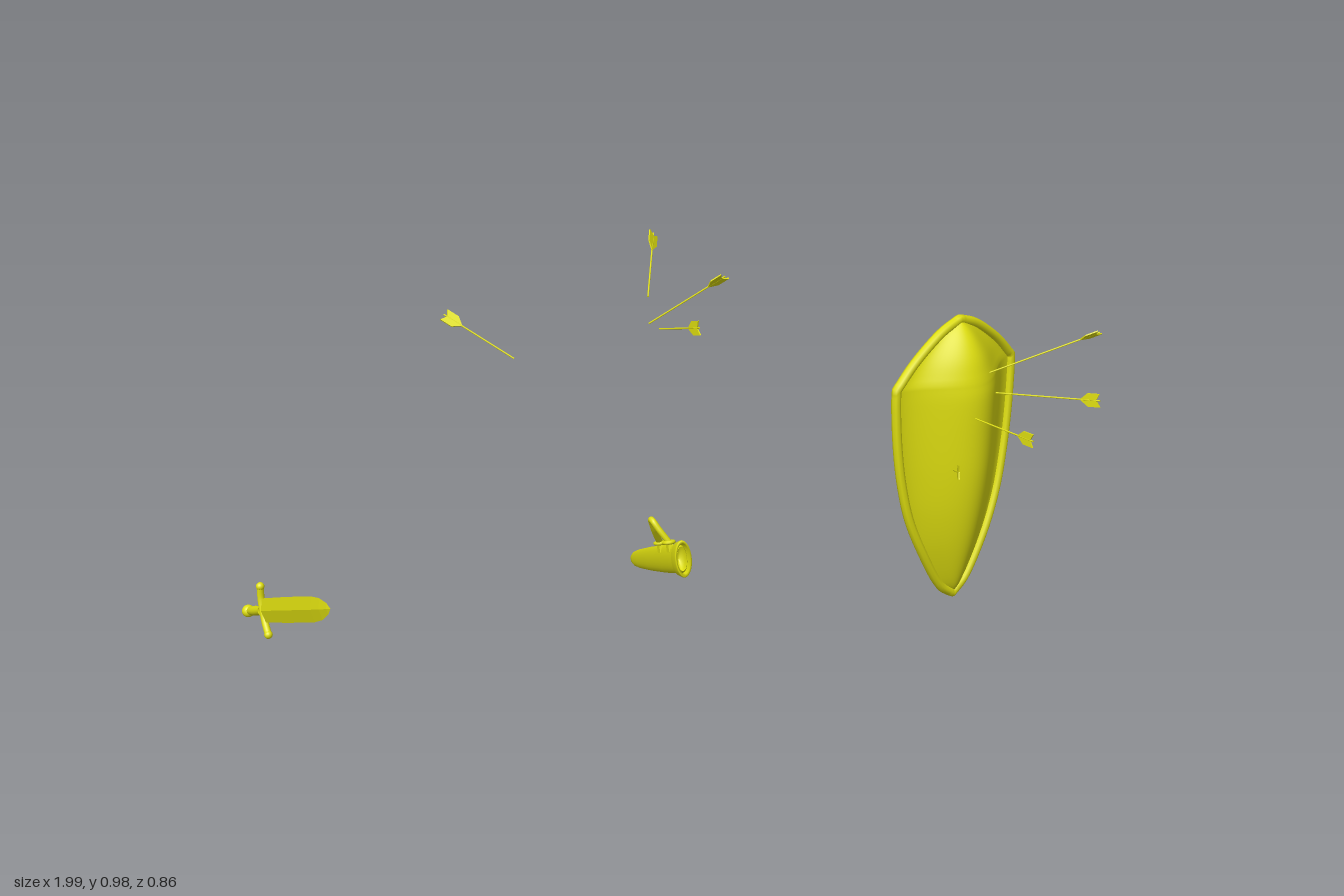
import * as THREE from 'three';

const V = (x, y, z) => new THREE.Vector3(x, y, z);
const mat = new THREE.MeshStandardMaterial({ color: 0xe0e010, side: THREE.DoubleSide });
const flat = new THREE.MeshStandardMaterial({ color: 0xe0e010, side: THREE.DoubleSide, flatShading: true });

function add(parent, name, geometry, material = mat) {
  const mesh = new THREE.Mesh(geometry, material);
  mesh.name = name;
  parent.add(mesh);
  return mesh;
}

// Group whose y axis runs from one point to another, with x turned towards a hint
function along(name, from, to, hint) {
  const g = new THREE.Group();
  g.name = name;
  const y = to.clone().sub(from).normalize();
  const z = hint.clone().cross(y).normalize();
  const x = y.clone().cross(z);
  g.applyMatrix4(new THREE.Matrix4().makeBasis(x, y, z).setPosition(from));
  return g;
}

const lathe = (pts, seg) => new THREE.LatheGeometry(pts.map(p => new THREE.Vector2(...p)), seg);
const tube = (pts, r, n = 24, seg = 10) =>
  new THREE.TubeGeometry(new THREE.CatmullRomCurve3(pts, false, 'centripetal'), n, r, seg);

// Rows of the shield: [height, half width, depth of edge, depth of ridge]
const lowerRows = [
  [0.06, 0, 0.024, 0.026], [0.1, 0.052, 0.023, 0.045], [0.2, 0.114, 0.021, 0.072], [0.3, 0.16, 0.014, 0.09],
  [0.4, 0.186, 0.008, 0.1], [0.5, 0.201, 0.004, 0.102], [0.6, 0.208, 0.001, 0.1], [0.65, 0.208, 0, 0.092]];
const upperRows = [
  [0.65, 0.208, 0, 0.092], [0.7, 0.158, 0.002, 0.076], [0.74, 0.105, 0.004, 0.055], [0.77, 0.055, 0.006, 0.032],
  [0.79, 0, 0.008, 0.01]];

function sampleRows(rows, n) {
  const edge = new THREE.CatmullRomCurve3(rows.map(r => V(r[1], r[0], r[2])), false, 'catmullrom');
  const ridge = new THREE.CatmullRomCurve3(rows.map(r => V(0, r[0], r[3])), false, 'catmullrom');
  return Array.from({ length: n + 1 }, (_, i) => {
    const e = edge.getPoint(i / n);
    return { y: e.y, w: Math.max(e.x, 0), base: e.z, peak: ridge.getPoint(i / n).z };
  });
}

// Bell-shaped sheet across the rows
function sheet(rows, bulge, offset, reverse) {
  const cols = 32, pos = [], idx = [];
  rows.forEach((r, j) => {
    for (let i = 0; i <= cols; i++) {
      const u = (i / cols) * 2 - 1;
      pos.push(u * r.w, r.y, r.base + offset + bulge * (r.peak - r.base) * Math.cos(u * Math.PI / 2) ** 2);
      if (j === rows.length - 1 || i === cols) continue;
      const a = j * (cols + 1) + i, b = a + 1, c = b + cols + 1, d = a + cols + 1;
      idx.push(...(reverse ? [a, c, b, a, d, c] : [a, b, c, a, c, d]));
    }
  });
  const g = new THREE.BufferGeometry();
  g.setAttribute('position', new THREE.Float32BufferAttribute(pos, 3));
  g.setIndex(idx);
  g.computeVertexNormals();
  return g;
}

// Bent band: profile given as [distance behind the shield, height]
function band(profile, width, thickness) {
  const curve = new THREE.SplineCurve(profile.map(p => new THREE.Vector2(...p)));
  const outer = [], inner = [];
  for (let i = 0; i <= 30; i++) {
    const p = curve.getPoint(i / 30), t = curve.getTangent(i / 30);
    outer.push(p);
    inner.unshift(new THREE.Vector2(p.x + t.y * thickness, p.y - t.x * thickness));
  }
  const g = new THREE.ExtrudeGeometry(new THREE.Shape([...outer, ...inner]), { depth: width, bevelEnabled: false });
  return g.translate(0, 0, -width / 2).rotateY(Math.PI / 2);
}

function makeShield() {
  const g = new THREE.Group();
  g.name = 'shield';
  const rows = [...sampleRows(lowerRows, 36), ...sampleRows(upperRows, 16).slice(1)];
  add(g, 'shieldFront', sheet(rows, 1, 0, false));
  add(g, 'shieldBack', sheet(rows, 0.25, -0.008, true));
  // rim around the outline
  const right = rows.map(r => V(r.w, r.y, r.base));
  const left = rows.slice(1, -1).reverse().map(r => V(-r.w, r.y, r.base));
  const path = new THREE.CatmullRomCurve3([...right, ...left], true, 'centripetal');
  add(g, 'shieldRim', new THREE.TubeGeometry(path, 200, 0.012, 8, true));
  // arm strap and hand grip
  const arm = [[-0.015, 0.66], [0.0, 0.62], [0.055, 0.58], [0.088, 0.515], [0.078, 0.455], [0.02, 0.42], [-0.015, 0.37]];
  add(g, 'armStrap', band(arm, 0.05, -0.012)).position.x = 0.065;
  const hand = arm.map(([x, y]) => [x * 0.58, 0.5 + (y - 0.51) * 0.75]);
  add(g, 'handStrap', band(hand, 0.03, -0.01)).position.x = -0.078;
  g.position.set(0.705, 0, 0.145);
  g.rotation.y = 0.35;
  return g;
}

function makeSword() {
  const g = along('sword', V(-0.985, 0.066, -0.368), V(-0.94, 0.37, 0.335), V(0, 1, 0));
  add(g, 'pommel', new THREE.SphereGeometry(0.016, 20, 14));
  add(g, 'grip', lathe([[0.007, 0.01], [0.011, 0.03], [0.0125, 0.08], [0.011, 0.13], [0.013, 0.15]], 16));
  add(g, 'guard', tube([V(-0.06, 0.165, 0), V(-0.03, 0.153, 0), V(0, 0.15, 0), V(0.03, 0.153, 0), V(0.06, 0.165, 0)], 0.009));
  for (const s of [-1, 1]) add(g, 'guardEnd', new THREE.SphereGeometry(0.0105, 14, 10)).position.set(s * 0.06, 0.165, 0);
  const blade = lathe([[0, 0.15], [0.03, 0.15], [0.031, 0.4], [0.03, 0.62], [0.025, 0.69], [0.013, 0.745], [0, 0.77]], 4);
  add(g, 'blade', blade.scale(1, 1, 0.22), flat);
  return g;
}

function makeScabbard() {
  const all = new THREE.Group();
  all.name = 'scabbardAndStrap';
  const g = along('scabbard', V(-0.01, 0.253, 0.125), V(0.066, 0.012, -0.43), V(0, 1, 0));
  all.add(g);
  const body = lathe([[0.03, 0.01], [0.036, 0.02], [0.035, 0.2], [0.031, 0.36], [0.025, 0.5], [0.019, 0.57], [0.011, 0.603], [0, 0.61]], 28);
  add(g, 'sheath', body.scale(1, 1, 0.42));
  const collar = lathe([[0, 0.05], [0.032, 0.04], [0.037, -0.008], [0.044, -0.01], [0.046, 0], [0.041, 0.05], [0.036, 0.056]], 28);
  add(g, 'mouthCollar', collar.scale(1, 1, 0.45));
  // carrying strap with a loop at each end
  const ends = [V(-0.006, 0.255, 0.022), V(0.006, 0.214, -0.07)];
  add(all, 'carryStrap', tube([ends[0], V(-0.028, 0.288, 0.008), V(-0.038, 0.306, -0.005),
    V(-0.037, 0.304, -0.02), V(-0.02, 0.265, -0.042), ends[1]], 0.008, 40));
  for (const e of ends) {
    const loop = along('strapLoop', e, e.clone().add(V(0.02, -0.9, 0.3)), V(1, 0, 0));
    add(loop, 'loopRing', new THREE.TorusGeometry(0.012, 0.005, 8, 20).rotateX(Math.PI / 2));
    add(loop, 'loopTab', new THREE.BoxGeometry(0.012, 0.03, 0.018)).position.y = 0.01;
    all.add(loop);
  }
  return all;
}

// Flat swallow-tailed fletching, end of shaft at y = 0
function fletching() {
  const s = new THREE.Shape([[0, -0.006], [0.017, 0.004], [0.017, -0.028], [0.002, -0.046],
    [-0.002, -0.046], [-0.017, -0.028], [-0.017, 0.004]].map(p => new THREE.Vector2(...p)));
  return new THREE.ExtrudeGeometry(s, { depth: 0.003, bevelEnabled: false }).translate(0, 0, -0.0015);
}

function makeArrow(tip, tail, hint) {
  const a = V(...tip), b = V(...tail), len = a.distanceTo(b);
  const g = along('arrow', a, b, V(...hint));
  add(g, 'arrowShaft', new THREE.CylinderGeometry(0.002, 0.002, len, 8).translate(0, len / 2, 0));
  add(g, 'arrowFletching', fletching().translate(0, len - 0.004, 0), flat);
  return g;
}

export function createModel() {
  const model = new THREE.Group();
  model.name = 'battleGear';
  model.add(makeShield(), makeSword(), makeScabbard());
  // tip, tail, direction the fletching spreads
  const X = [1, 0, 0], Y = [0, 1, 0];
  const arrows = [
    [[0.76, 0.655, 0.2], [0.98, 0.787, 0.36], X],
    [[0.8, 0.597, 0.188], [0.965, 0.628, 0.405], Y],
    [[0.712, 0.56, 0.235], [0.77, 0.56, 0.432], Y],
    [[0.665, 0.428, 0.235], [0.602, 0.485, 0.38], Y],
    [[-0.368, 0.754, -0.068], [-0.51, 0.852, -0.165], X],
    [[-0.012, 0.856, -0.102], [0.055, 0.973, -0.237], [0.2, -0.2, -0.08]],
    [[-0.03, 0.807, -0.048], [0.118, 0.943, 0.07], X],
    [[-0.02, 0.805, -0.005], [0.01, 0.86, 0.175], Y]];
  for (const [tip, tail, hint] of arrows) model.add(makeArrow(tip, tail, hint));
  return model;
}
